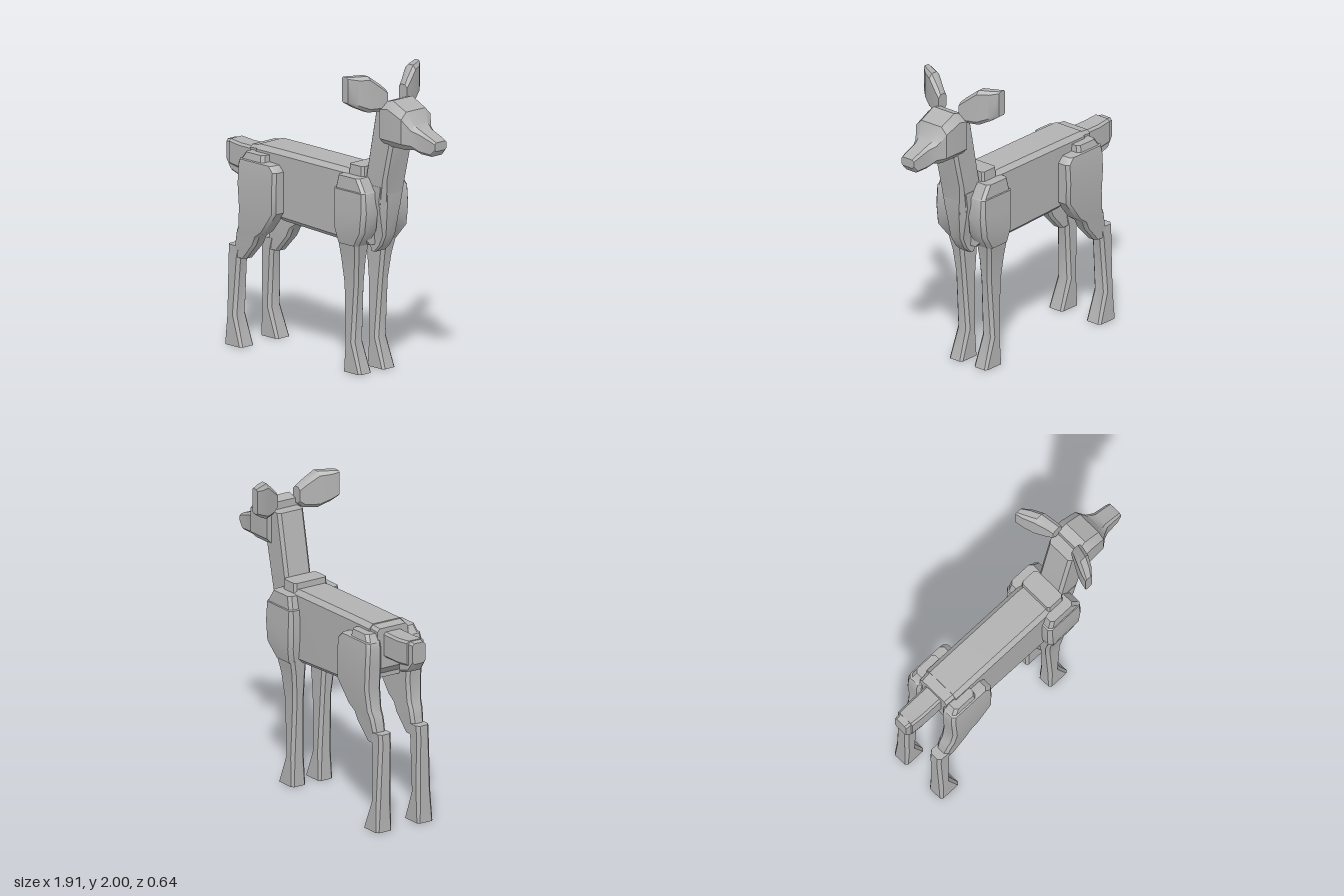
import * as THREE from 'three';
import { toCreasedNormals } from 'three/addons/utils/BufferGeometryUtils.js';

const coat = new THREE.MeshStandardMaterial({ color: 0xb2b2b2 });
coat.name = 'grey coat';

// Lofts chamfered rectangles along an axis. Each section is [t, a0, a1, b0, b1, chamfer], with t rising.
// Axis x: a = y, b = z. Axis y: a = z, b = x. Axis z: a = x, b = y. side -1 mirrors the part in z.
function loft(name, axis, sections, side = 1) {
  const place = {
    x: (t, a, b) => [t, a, b * side],
    y: (t, a, b) => [b, t, a * side],
    z: (t, a, b) => [a, b, t * side],
  }[axis];
  const pos = [], idx = [], n = 8;
  for (const [t, a0, a1, b0, b1, c = 0.015] of sections) {
    const ring = [[a0 + c, b0], [a1 - c, b0], [a1, b0 + c], [a1, b1 - c],
      [a1 - c, b1], [a0 + c, b1], [a0, b1 - c], [a0, b0 + c]];
    for (const [a, b] of ring) pos.push(...place(t, a, b));
  }
  const tri = (a, b, c) => (side > 0 ? idx.push(a, b, c) : idx.push(a, c, b));
  const last = (sections.length - 1) * n;
  for (let i = 0; i < last; i += n) {
    for (let j = 0; j < n; j++) {
      const k = (j + 1) % n;
      tri(i + j, i + k, i + n + k);
      tri(i + j, i + n + k, i + n + j);
    }
  }
  for (let j = 1; j < n - 1; j++) {
    tri(0, j + 1, j);
    tri(last, last + j, last + j + 1);
  }
  const geo = new THREE.BufferGeometry();
  geo.setAttribute('position', new THREE.Float32BufferAttribute(pos, 3));
  geo.setIndex(idx);
  const mesh = new THREE.Mesh(toCreasedNormals(geo, 0.6), coat);
  mesh.name = name;
  return mesh;
}

export function createModel() {
  const deer = new THREE.Group();
  deer.name = 'deer';

  // Trunk
  deer.add(loft('body', 'x', [
    [-0.6, 0.96, 1.335, -0.135, 0.135, 0.03],
    [-0.38, 0.87, 1.335, -0.135, 0.135, 0.03],
    [0.2, 0.845, 1.33, -0.135, 0.135, 0.03],
    [0.4, 0.85, 1.3, -0.12, 0.12, 0.03],
  ]));
  deer.add(loft('rump', 'x', [
    [-0.67, 1.05, 1.32, -0.12, 0.12, 0.02],
    [-0.59, 0.98, 1.33, -0.125, 0.125, 0.02],
  ]));
  deer.add(loft('withers', 'y', [
    [1.28, -0.13, 0.13, 0.23, 0.37],
    [1.365, -0.125, 0.125, 0.235, 0.365],
  ]));
  deer.add(loft('chest', 'y', [
    [0.8, -0.05, 0.05, 0.36, 0.4, 0.008],
    [0.845, -0.05, 0.05, 0.34, 0.45],
    [0.92, -0.055, 0.055, 0.33, 0.49],
    [1.15, -0.1, 0.1, 0.33, 0.525, 0.04],
    [1.25, -0.1, 0.1, 0.35, 0.53, 0.03],
  ]));
  deer.add(loft('neck', 'y', [
    [1.1, -0.09, 0.09, 0.33, 0.515, 0.03],
    [1.3, -0.1, 0.1, 0.355, 0.54, 0.02],
    [1.55, -0.1, 0.1, 0.405, 0.6, 0.02],
    [1.77, -0.1, 0.1, 0.45, 0.6, 0.02],
  ]));

  // Head and muzzle
  deer.add(loft('head', 'x', [
    [0.53, 1.54, 1.82, -0.135, 0.135, 0.045],
    [0.6, 1.535, 1.84, -0.137, 0.137, 0.05],
    [0.72, 1.535, 1.785, -0.13, 0.13, 0.045],
    [0.77, 1.54, 1.7, -0.09, 0.09, 0.03],
    [0.82, 1.52, 1.67, -0.065, 0.065, 0.02],
    [0.915, 1.52, 1.635, -0.058, 0.058, 0.015],
    [0.95, 1.56, 1.618, -0.053, 0.053, 0.012],
  ]));

  // Tail, with a drooping tip
  deer.add(loft('tail', 'x', [
    [-0.92, 1.13, 1.3, -0.065, 0.065],
    [-0.82, 1.12, 1.29, -0.07, 0.07],
    [-0.64, 1.12, 1.29, -0.07, 0.07],
  ]));
  deer.add(loft('tailTip', 'x', [
    [-0.96, 1.15, 1.29, -0.05, 0.05],
    [-0.915, 1.09, 1.295, -0.055, 0.055],
    [-0.82, 1.06, 1.2, -0.055, 0.055],
  ]));

  // Paired parts
  for (const side of [1, -1]) {
    const label = side > 0 ? 'left' : 'right';
    deer.add(loft(label + 'Ear', 'z', [
      [0.085, 0.48, 0.555, 1.79, 1.9, 0.02],
      [0.12, 0.465, 0.545, 1.76, 1.935, 0.025],
      [0.2, 0.42, 0.515, 1.76, 2, 0.025],
      [0.27, 0.39, 0.475, 1.795, 2, 0.02],
      [0.32, 0.375, 0.43, 1.83, 2, 0.01],
    ], side));
    deer.add(loft(label + 'FrontLeg', 'y', [
      [0, 0.05, 0.16, 0.215, 0.375],
      [0.2, 0.055, 0.155, 0.22, 0.305, 0.02],
      [0.58, 0.065, 0.15, 0.205, 0.33, 0.02],
      [0.75, 0.065, 0.165, 0.19, 0.35, 0.02],
      [0.9, 0.06, 0.19, 0.18, 0.38, 0.02],
    ], side));
    deer.add(loft(label + 'Shoulder', 'y', [
      [0.85, 0.06, 0.19, 0.185, 0.37, 0.025],
      [0.95, 0.06, 0.21, 0.17, 0.445, 0.025],
      [1.08, 0.06, 0.21, 0.165, 0.46, 0.025],
      [1.21, 0.06, 0.205, 0.17, 0.45, 0.02],
      [1.215, 0.06, 0.2, 0.18, 0.445, 0.02],
      [1.3, 0.06, 0.195, 0.2, 0.39, 0.02],
    ], side));
    deer.add(loft(label + 'HindLeg', 'y', [
      [0, 0.1, 0.22, -0.81, -0.65],
      [0.2, 0.1, 0.21, -0.805, -0.72, 0.02],
      [0.58, 0.1, 0.195, -0.81, -0.7, 0.02],
      [0.655, 0.1, 0.195, -0.805, -0.68, 0.02],
    ], side));
    deer.add(loft(label + 'Thigh', 'y', [
      [0.58, 0.105, 0.19, -0.76, -0.65, 0.02],
      [0.69, 0.1, 0.2, -0.74, -0.55, 0.02],
      [0.75, 0.1, 0.205, -0.725, -0.52, 0.02],
      [0.79, 0.1, 0.21, -0.705, -0.46, 0.02],
      [0.93, 0.1, 0.22, -0.69, -0.35, 0.02],
      [1.08, 0.1, 0.222, -0.7, -0.35, 0.02],
      [1.2, 0.1, 0.215, -0.7, -0.35, 0.02],
      [1.24, 0.1, 0.21, -0.69, -0.39, 0.02],
      [1.245, 0.1, 0.2, -0.68, -0.475, 0.02],
      [1.29, 0.1, 0.19, -0.65, -0.48, 0.02],
    ], side));
  }
  return deer;
}
